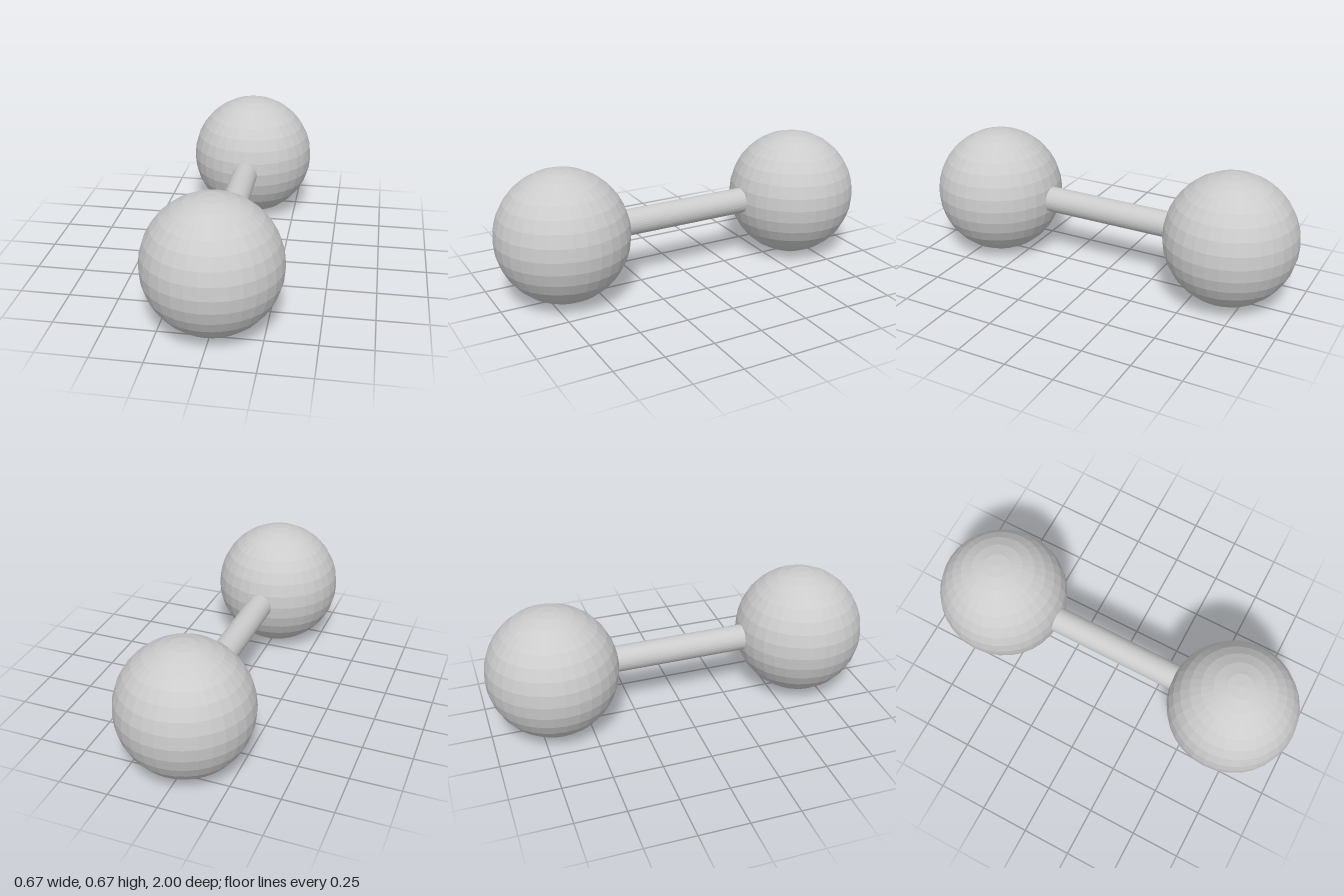
import * as THREE from 'three';

export function createModel() {
  const group = new THREE.Group();
  const material = new THREE.MeshStandardMaterial({ color: 0xcccccc, flatShading: true });
  const radius = 1 / 3;
  const offset = 2 / 3;

  // Faceted ball at each end
  const ballGeometry = new THREE.SphereGeometry(radius, 32, 16);
  for (const [name, side] of [['frontBall', 1], ['backBall', -1]]) {
    const ball = new THREE.Mesh(ballGeometry, material);
    ball.name = name;
    ball.position.set(0, radius, side * offset);
    group.add(ball);
  }

  // Straight bar, with its ends sunk into the balls
  const bar = new THREE.Mesh(new THREE.CylinderGeometry(radius / 5, radius / 5, 0.8, 32), material);
  bar.name = 'bar';
  bar.rotation.x = Math.PI / 2;
  bar.position.y = radius;
  group.add(bar);

  return group;
}
